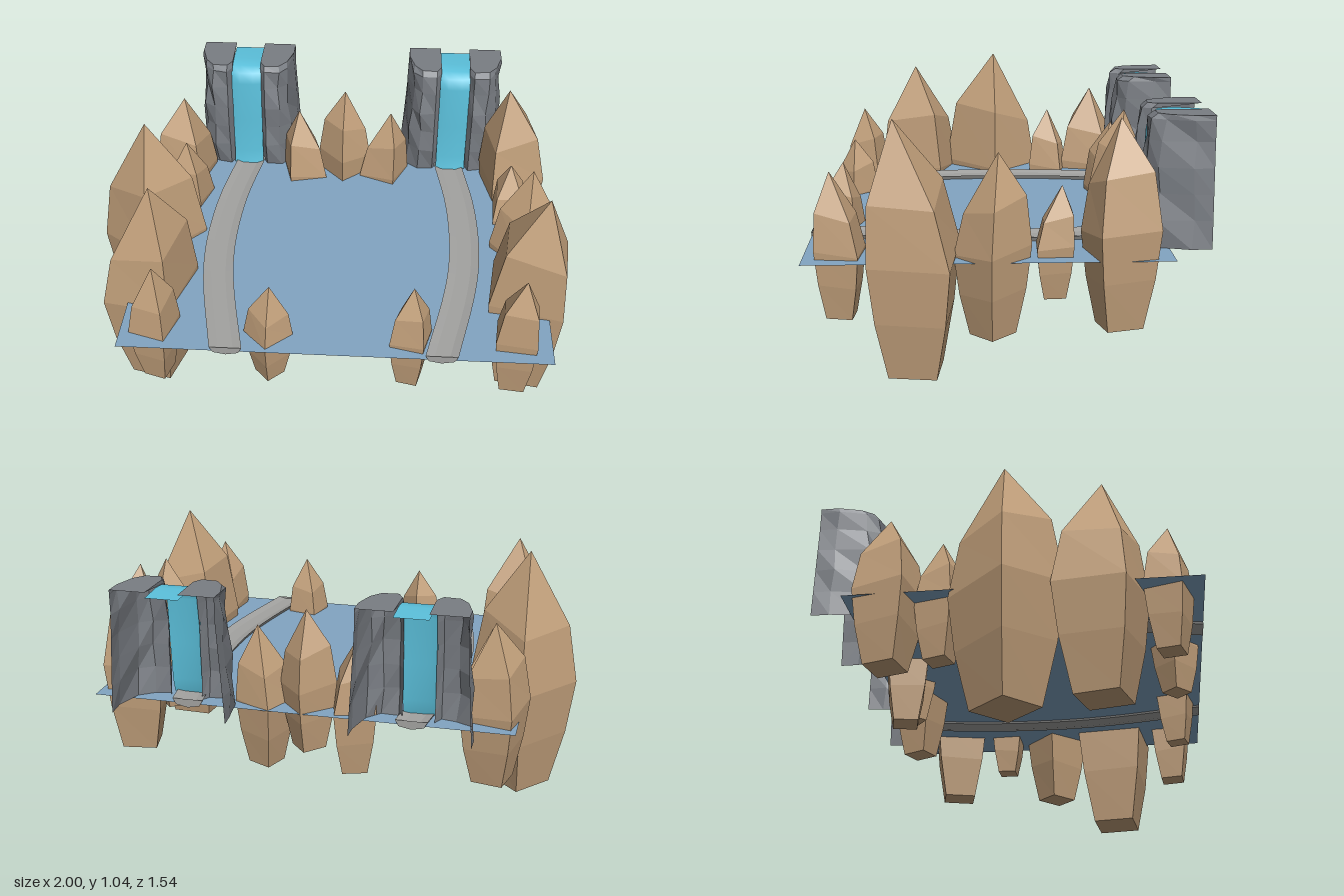
import * as THREE from 'three';

const mat = (name, color, side = THREE.FrontSide, flatShading = false) =>
  Object.assign(new THREE.MeshStandardMaterial({ color, side, flatShading }), { name });
const sandstone = mat('sandstone', 0xc2a07b, THREE.FrontSide, true);
const slate = mat('slate', 0x797d83, THREE.DoubleSide, true);
const pond = mat('pond blue', 0x82a5c2, THREE.DoubleSide);
const cascade = mat('cascade cyan', 0x5bc0db, THREE.DoubleSide);
const gravel = mat('gravel grey', 0xa2a2a0, THREE.DoubleSide);

// Skins a list of equal-length rings of [x, y, z] points
function loft(rings, { closed = true, start = false, end = false, smooth = false } = {}) {
  const n = rings[0].length, pts = rings.flat(), index = [];
  const tri = (a, b, c) => {
    if (pts[a] !== pts[b] && pts[b] !== pts[c] && pts[a] !== pts[c]) index.push(a, b, c);
  };
  for (let i = 0; i < rings.length - 1; i++) {
    for (let j = 0; j < (closed ? n : n - 1); j++) {
      const a = i * n + j, b = i * n + (j + 1) % n;
      tri(a, a + n, b + n);
      tri(a, b + n, b);
    }
  }
  const last = (rings.length - 1) * n;
  for (let j = 1; j < n - 1; j++) {
    if (start) tri(0, j, j + 1);
    if (end) tri(last, last + j + 1, last + j);
  }
  let geo = new THREE.BufferGeometry();
  geo.setAttribute('position', new THREE.Float32BufferAttribute(pts.flat(), 3));
  geo.setIndex(index);
  if (!smooth) geo = geo.toNonIndexed();
  geo.computeVertexNormals();
  return geo;
}

function mesh(name, geo, material) {
  const m = new THREE.Mesh(geo, material);
  m.name = name;
  return m;
}

// Four-sided boulder: narrow foot, wide waist, shoulder and an offset peak
function boulder([x, z, half, deg, y0, y1, px, pz], k) {
  const h = y1 - y0;
  const ring = (t, scale, lean, tilt) => Array.from({ length: 4 }, (_, j) => {
    const a = THREE.MathUtils.degToRad(deg + 45 + 90 * j);
    const r = half * Math.SQRT2 * scale;
    return [x + (px - x) * lean + Math.cos(a) * r,
      y0 + h * (t + tilt * Math.sin(j * 1.6 + k)),
      z + (pz - z) * lean + Math.sin(a) * r];
  });
  const rings = [ring(0, 0.6, 0, 0.005), ring(0.24, 0.86, 0, 0.02), ring(0.47, 1, 0, 0.03),
    ring(0.72, 0.8, 0.4, 0.05), Array(4).fill([px, y1, pz])];
  return mesh('boulder', loft(rings, { start: true }), sandstone);
}

// Hollow cliff column, open towards the back and the gap; k is the side of the falls it stands on
function cliff(cx, k, seed) {
  const section = [[0.21, -0.775], [0.21, -0.7], [0.185, -0.6], [0.15, -0.555], [0.085, -0.55], [0.064, -0.59], [0.066, -0.775]];
  const levels = [[0.49, 0.024, 0.02], [0.6, 0.018, 0.033], [0.7, 0.012, 0.03],
    [0.8, 0.006, 0.033], [0.9, 0, 0.02], [0.98, 0, 0.012], [1.0, 0, -0.012]];
  const rings = levels.map(([y, flare, bulge], i) => {
    const ring = section.map(([u, z], j) => {
      const rough = i < 6 && j > 0 && j < 5 ? 0.006 * Math.sin(i * 2.3 + j * 4.1 + seed) : 0;
      const outer = j < 3 ? flare : 0;
      const front = j > 1 && j < 6 ? bulge : 0;
      return [cx + k * (u + outer + (j < 4 ? rough : 0)), y, z + front + rough];
    });
    if (i < 6) ring[6] = ring[5]; // only the top slab reaches back along the gap
    return k > 0 ? ring : ring.reverse();
  });
  return mesh('cliff', loft(rings, { closed: false, end: true }), slate);
}

// Sheet of water that runs over the lip and drops to the pond
function falls(cx) {
  const path = [[-0.775, 0.978], [-0.66, 0.985], [-0.6, 0.98], [-0.57, 0.96],
    [-0.558, 0.91], [-0.55, 0.72], [-0.54, 0.56], [-0.525, 0.5]];
  const rings = path.map(([z, y]) => [-0.067, -0.03, 0.03, 0.067].map((u) =>
    [cx + u, y, z + (Math.abs(u) < 0.05 && z > -0.6 ? 0.008 : 0)]));
  return mesh('waterfall', loft(rings, { closed: false, smooth: true }), cascade);
}

// Curved stream bed, a shallow slab with a rounded underside
function streamBed(cx, s) {
  const curve = new THREE.CatmullRomCurve3([[-0.02, -0.615], [-0.01, -0.54], [0.035, -0.25],
    [0.05, 0], [0.045, 0.2], [0.02, 0.4], [-0.055, 0.765]]
    .map(([u, z]) => new THREE.Vector3(cx + s * u, 0, z)));
  const section = [[-0.064, 0.508], [-0.03, 0.499], [0.03, 0.499], [0.064, 0.508], [0.05, 0.482], [0, 0.472], [-0.05, 0.482]];
  const rings = curve.getPoints(28).map((p) => section.map(([u, y]) => [p.x + u, y, p.z]));
  return mesh('streamBed', loft(rings, { start: true, end: true }), gravel);
}

export function createModel() {
  const model = new THREE.Group();
  model.name = 'rockPond';

  // Pond surface
  const water = mesh('pondSurface', new THREE.PlaneGeometry(1.716, 1.38).rotateX(-Math.PI / 2), pond);
  water.position.set(0.05, 0.49, 0.075);
  model.add(water);

  // Two waterfalls, each with its cliffs and stream bed, mirrored about x = 0.05
  for (const s of [-1, 1]) {
    const cx = 0.05 + s * 0.477;
    const group = new THREE.Group();
    group.name = s > 0 ? 'leftFalls' : 'rightFalls';
    group.add(cliff(cx, -1, s), cliff(cx, 1, s + 3), falls(cx), streamBed(cx, s));
    model.add(group);
  }

  // Boulders: x, z, half width, turn, foot, peak height, peak x, peak z
  const boulders = [
    [-0.71, -0.45, 0.107, 14, 0.22, 0.88, -0.70, -0.46],
    [-0.66, -0.255, 0.077, 15, 0.26, 0.78, -0.665, -0.25],
    [-0.777, 0.02, 0.158, 42, 0, 1.04, -0.78, 0.01],
    [-0.735, 0.375, 0.148, 16, 0.04, 0.99, -0.70, 0.39],
    [-0.675, 0.63, 0.077, 17, 0.245, 0.79, -0.66, 0.64],
    [-0.215, 0.65, 0.07, 47, 0.28, 0.73, -0.205, 0.65],
    [-0.155, -0.49, 0.085, -14, 0.22, 0.81, -0.18, -0.5],
    [0.03, -0.51, 0.084, 48, 0.31, 0.9, 0.03, -0.53],
    [0.215, -0.5, 0.085, 23, 0.22, 0.81, 0.24, -0.5],
    [0.8, -0.42, 0.118, -13, 0.205, 1, 0.76, -0.417],
    [0.78, -0.175, 0.069, 2, 0.32, 0.75, 0.775, -0.2],
    [0.83, 0.06, 0.103, 48, 0.19, 0.89, 0.84, 0.04],
    [0.83, 0.35, 0.152, 7, 0.05, 1.02, 0.865, 0.42],
    [0.77, 0.63, 0.082, 6, 0.25, 0.81, 0.78, 0.66],
    [0.35, 0.655, 0.069, 14, 0.28, 0.75, 0.355, 0.65],
  ];
  const ring = new THREE.Group();
  ring.name = 'boulders';
  boulders.forEach((b, i) => ring.add(boulder(b, i)));
  model.add(ring);
  return model;
}
